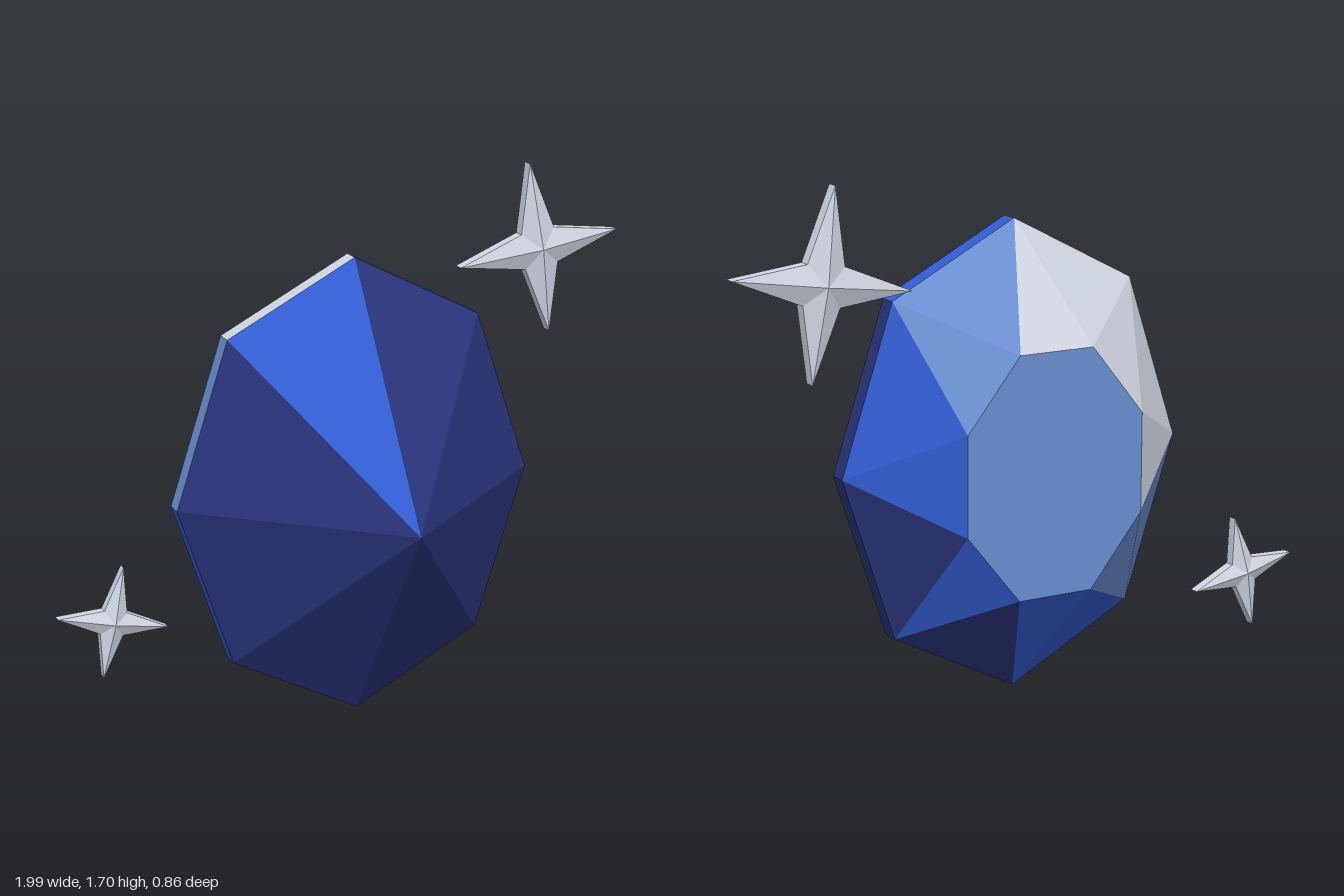
import * as THREE from 'three';

const material = (name, color) => {
  const m = new THREE.MeshStandardMaterial({ color });
  m.name = name;
  return m;
};

// Faceted mesh from convex faces [materialIndex, ...points], split into flat triangles
function facets(name, materials, faces) {
  const positions = [];
  const geometry = new THREE.BufferGeometry();
  for (const [index, ...pts] of faces) {
    geometry.addGroup(positions.length / 3, (pts.length - 2) * 3, index);
    for (let k = 1; k < pts.length - 1; k++) positions.push(...pts[0], ...pts[k], ...pts[k + 1]);
  }
  geometry.setAttribute('position', new THREE.Float32BufferAttribute(positions, 3));
  geometry.computeVertexNormals();
  const mesh = new THREE.Mesh(geometry, materials);
  mesh.name = name;
  return mesh;
}

// Four-pointed sparkle: thin star rim with a raised centre on both sides
function sparkle(name, mat, arm, inner, rim, peak, tilt) {
  const point = (i, z) => {
    const a = tilt + (i * Math.PI) / 4;
    const r = i % 2 ? inner : arm;
    return [r * Math.cos(a), r * Math.sin(a), z];
  };
  const faces = [];
  for (let i = 0; i < 8; i++) {
    faces.push([0, [0, 0, peak], point(i, rim), point(i + 1, rim)]);
    faces.push([0, [0, 0, -peak], point(i + 1, -rim), point(i, -rim)]);
    faces.push([0, point(i, rim), point(i, -rim), point(i + 1, -rim), point(i + 1, rim)]);
  }
  return facets(name, [mat], faces);
}

export function createModel() {
  const model = new THREE.Group();
  model.name = 'gem';

  const colours = [
    material('navy', 0x2a347c),
    material('royalBlue', 0x325cd2),
    material('paleBlue', 0x6a8fd2),
    material('silverWhite', 0xd0d6e2),
  ];
  const [N, R, P, W] = [0, 1, 2, 3];

  // Facet colours, counter-clockwise from the gem's left corner
  const pavilionColours = [N, N, R, N, N, N, N, N];
  const girdleColours = [N, R, W, P, R, N, N, N];
  const crownEdgeColours = [R, P, W, W, P, R, N, N];
  const crownCornerColours = [R, P, W, W, W, P, R, R];

  const ring = (i, rx, ry, z) => {
    const a = (i * Math.PI) / 4;
    return [rx * Math.cos(a), ry * Math.sin(a), z];
  };
  const front = (i) => ring(i, 0.6, 0.755, -0.09);
  const back = (i) => ring(i, 0.6, 0.755, -0.15);
  const top = (i) => ring(i, 0.335, 0.417, -0.41);
  const apex = [0, 0, 0.43];

  const pavilion = [], girdle = [], crown = [], table = [N + P];
  for (let i = 0; i < 8; i++) {
    pavilion.push([pavilionColours[i], apex, front(i), front(i + 1)]);
    girdle.push([girdleColours[i], front(i), back(i), back(i + 1), front(i + 1)]);
    crown.push([crownEdgeColours[i], back(i + 1), back(i), top(i + 0.5)]);
    crown.push([crownCornerColours[i], back(i), top(i - 0.5), top(i + 0.5)]);
    table.push(top(7.5 - i));
  }

  // Cut stone, lying on its side with the point to the front
  const stone = new THREE.Group();
  stone.name = 'stone';
  stone.position.set(-0.07, 0.755, 0);
  stone.add(
    facets('pavilion', colours, pavilion),
    facets('girdle', colours, girdle),
    facets('crown', colours, crown),
    facets('table', colours, [table]),
  );
  model.add(stone);

  // Sparkles behind the stone
  const large = sparkle('largeSparkle', colours[W], 0.29, 0.085, 0.02, 0.05, 0.14);
  large.position.set(0.705, 1.41, -0.38);
  const small = sparkle('smallSparkle', colours[W], 0.188, 0.055, 0.016, 0.04, -0.21);
  small.position.set(-0.815, 0.32, -0.345);
  model.add(large, small);

  return model;
}
